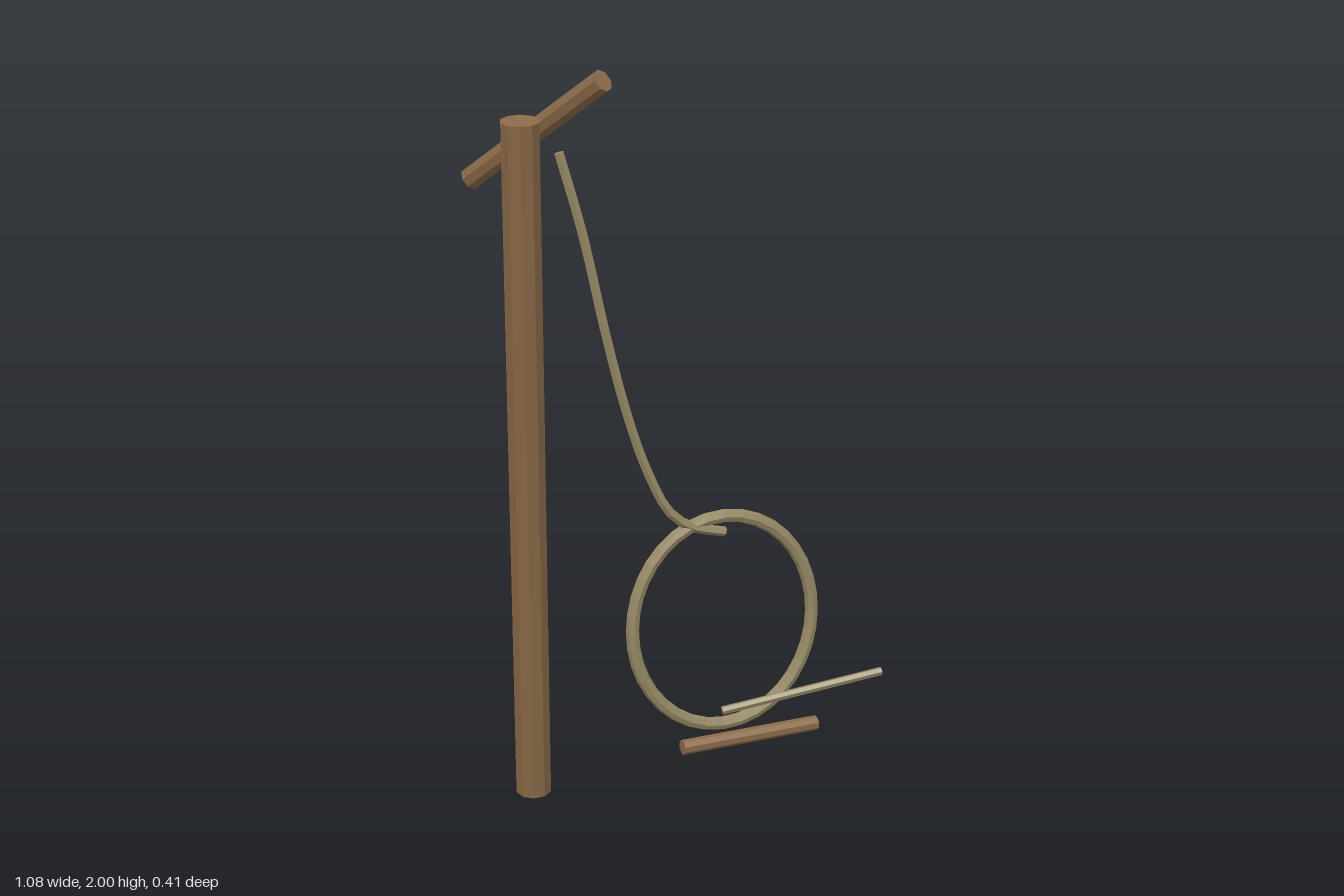
import * as THREE from 'three';

const wood = new THREE.MeshStandardMaterial({ color: 0x8b6a48, flatShading: true });
wood.name = 'wood';
const rope = new THREE.MeshStandardMaterial({ color: 0x958863, flatShading: true });
rope.name = 'rope';

const v = (p) => new THREE.Vector3(...p);

// Straight rod between two points
function rod(name, a, b, radius, sides, material) {
  const from = v(a), to = v(b);
  const dir = to.clone().sub(from);
  const mesh = new THREE.Mesh(new THREE.CylinderGeometry(radius, radius, dir.length(), sides), material);
  mesh.position.copy(from).add(to).multiplyScalar(0.5);
  mesh.quaternion.setFromUnitVectors(new THREE.Vector3(0, 1, 0), dir.normalize());
  mesh.name = name;
  return mesh;
}

// Flat disc closing the end of a tube
function cap(name, at, dir, radius, sides) {
  const mesh = new THREE.Mesh(new THREE.CircleGeometry(radius, sides), rope);
  mesh.position.copy(at);
  mesh.quaternion.setFromUnitVectors(new THREE.Vector3(0, 0, 1), dir);
  mesh.name = name;
  return mesh;
}

export function createModel() {
  const model = new THREE.Group();
  model.name = 'ropeSnare';

  // Leaning post, crossbar at its head, peg under the loop
  model.add(rod('post', [-0.395, 0.007, -0.157], [-0.395, 1.87, 0.104], 0.049, 10, wood));
  model.add(rod('crossbar', [-0.52, 1.695, -0.095], [-0.2, 1.975, 0.177], 0.029, 8, wood));
  model.add(rod('peg', [-0.004, 0.206, 0.04], [0.364, 0.206, -0.096], 0.02, 8, wood));

  // Hanging rope
  const curve = new THREE.CatmullRomCurve3([
    [-0.303, 1.785, 0.06], [-0.25, 1.59, 0.058], [-0.19, 1.31, 0.05], [-0.14, 1.11, 0.04],
    [-0.09, 0.96, 0.028], [-0.035, 0.85, 0.015], [0.02, 0.805, 0], [0.11, 0.782, -0.02],
  ].map(v));
  const hanging = new THREE.Mesh(new THREE.TubeGeometry(curve, 28, 0.013, 6), rope);
  hanging.name = 'hangingRope';
  model.add(hanging);
  model.add(cap('ropeTopEnd', curve.getPoint(0), curve.getTangent(0).negate(), 0.013, 6));
  model.add(cap('ropeLowerEnd', curve.getPoint(1), curve.getTangent(1), 0.013, 6));

  // Oval loop, turned about the vertical
  const oval = [];
  for (let i = 0; i < 24; i++) {
    const a = (i / 24) * Math.PI * 2;
    oval.push(new THREE.Vector3(0.248 * Math.cos(a), 0.29 * Math.sin(a), 0));
  }
  const loop = new THREE.Mesh(
    new THREE.TubeGeometry(new THREE.CatmullRomCurve3(oval, true), 36, 0.018, 8, true), rope);
  loop.position.set(0.107, 0.532, -0.03);
  loop.rotation.y = THREE.MathUtils.degToRad(15);
  loop.name = 'loop';
  model.add(loop);

  // Loose tail
  model.add(rod('ropeTail', [0.106, 0.277, -0.03], [0.538, 0.349, -0.1], 0.0115, 6, rope));

  return model;
}
